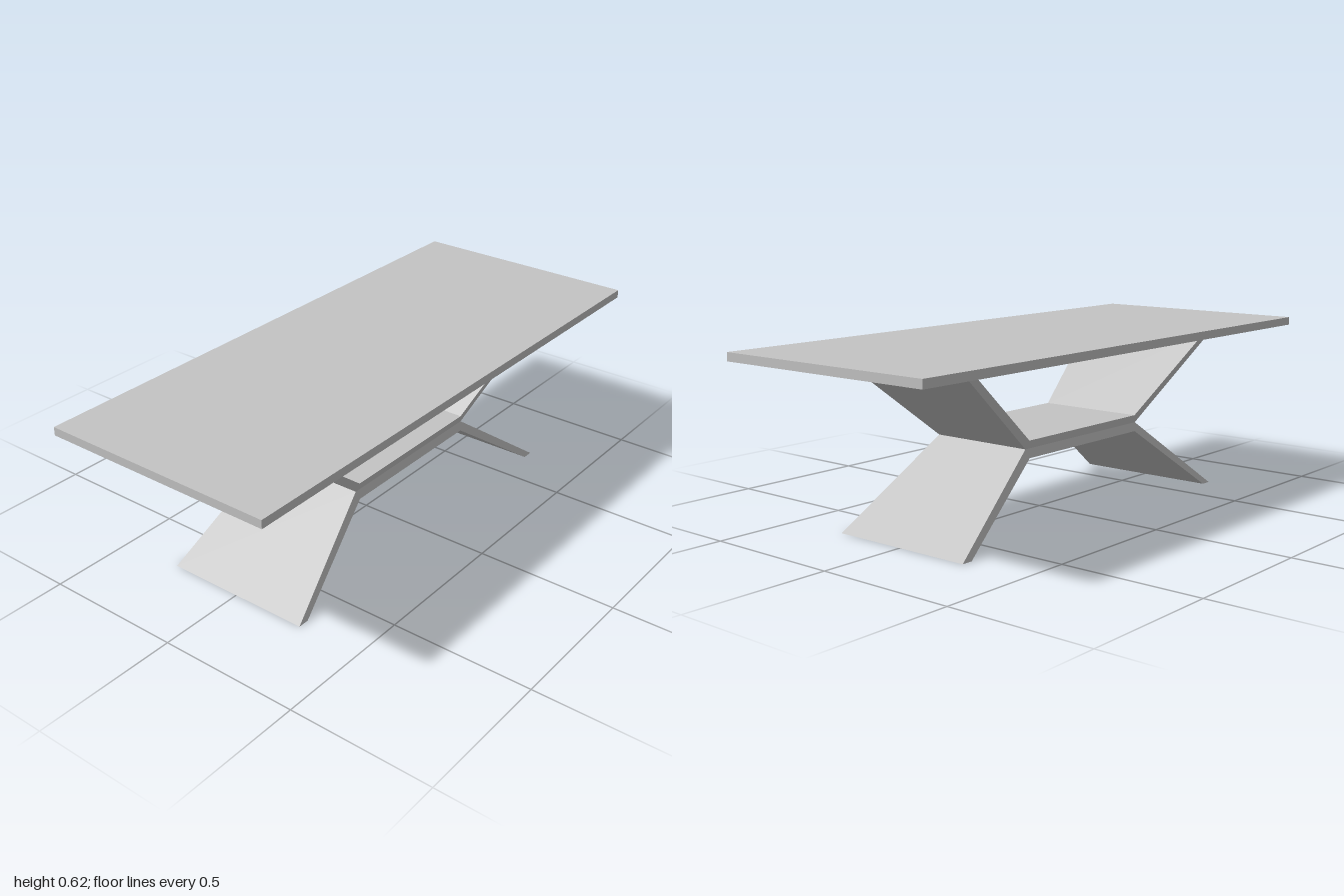
import * as THREE from 'three';

export function createModel() {
  const model = new THREE.Group();
  const grey = new THREE.MeshStandardMaterial({ color: 0xc4c4c4 });
  grey.name = 'light grey';

  const TOP = 0.617, UNDER = 0.588, WAIST = 0.28;
  const WAIST_HALF = 0.193, END_HALF = 0.27;

  // Flat rectangular top
  const top = new THREE.Mesh(new THREE.BoxGeometry(2, TOP - UNDER, 0.842), grey);
  top.name = 'tableTop';
  top.position.y = (TOP + UNDER) / 2;
  model.add(top);

  // Half of the trestle: a bar with two splayed legs, growing deeper away from the waist
  function trestleHalf(name, endY, barY) {
    const right = [[0.305, WAIST], [0.69, endY], [0.65, endY], [0.293, barY]];
    const left = right.map(([x, y]) => [-x, y]).reverse();
    const shape = new THREE.Shape([...right, ...left].map(([x, y]) => new THREE.Vector2(x, y)));
    const geometry = new THREE.ExtrudeGeometry(shape, { depth: 2, bevelEnabled: false });
    geometry.translate(0, 0, -1);
    const pos = geometry.attributes.position;
    for (let i = 0; i < pos.count; i++) {
      const t = (pos.getY(i) - WAIST) / (endY - WAIST);
      pos.setZ(i, pos.getZ(i) * THREE.MathUtils.lerp(WAIST_HALF, END_HALF, t));
    }
    geometry.computeVertexNormals();
    const mesh = new THREE.Mesh(geometry, grey);
    mesh.name = name;
    model.add(mesh);
  }
  trestleHalf('upperSupports', UNDER, 0.308);
  trestleHalf('lowerLegs', 0, 0.25);

  return model;
}
